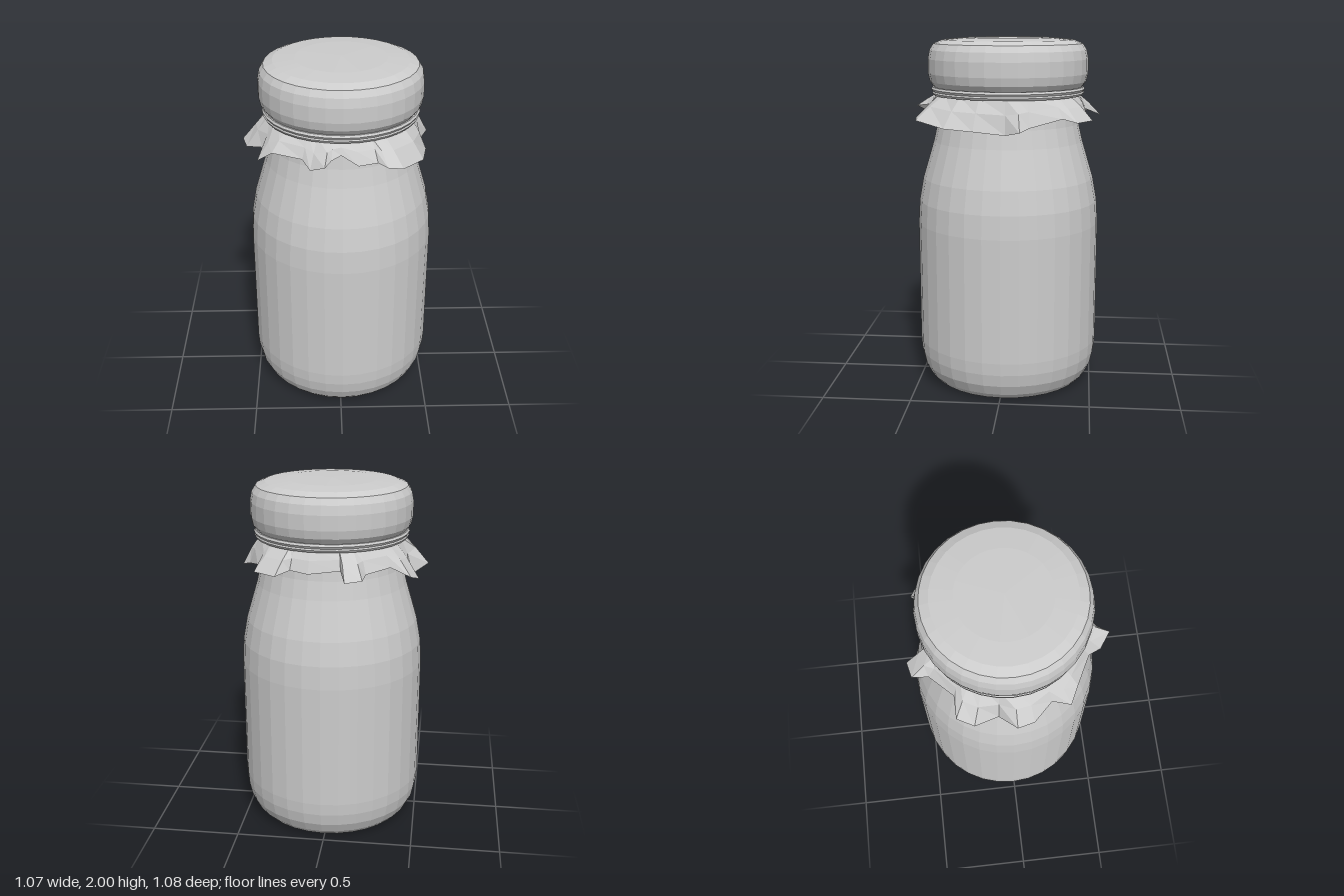
import * as THREE from 'three';

export function createModel() {
  const model = new THREE.Group();
  const CX = 0.01, CZ = -0.01; // axis of the jar
  const grey = new THREE.MeshStandardMaterial({ color: 0xcccccc, flatShading: true, side: THREE.DoubleSide });
  grey.name = 'light grey';

  const add = (name, geometry, y = 0) => {
    const mesh = new THREE.Mesh(geometry, grey);
    mesh.name = name;
    mesh.position.set(CX, y, CZ);
    model.add(mesh);
    return mesh;
  };
  const lathe = (points) => new THREE.LatheGeometry(points.map(([r, y]) => new THREE.Vector2(r, y)), 32);

  // Jar with a flat base, straight sides and a sloping shoulder
  add('jarBody', lathe([
    [0, 0.005], [0.44, 0.018], [0.47, 0.05], [0.5, 0.11], [0.515, 0.18], [0.52, 0.25],
    [0.52, 0.95], [0.512, 1.08], [0.488, 1.21], [0.455, 1.32], [0.425, 1.42],
    [0.402, 1.52], [0.392, 1.6], [0.39, 1.71],
  ]));

  // Cloth pulled over the lid
  add('lidCover', lathe([
    [0.39, 1.71], [0.42, 1.725], [0.442, 1.755], [0.452, 1.8], [0.452, 1.88],
    [0.442, 1.93], [0.42, 1.965], [0.37, 1.985], [0.25, 1.996], [0, 2],
  ]));

  // Two turns of string around the neck
  for (const [y, r] of [[1.692, 0.417], [1.713, 0.421]]) {
    const ring = new THREE.TorusGeometry(r, 0.014, 6, 32);
    ring.rotateX(Math.PI / 2);
    add('neckString', ring, y);
  }

  // Ruffled cloth hem: x, y, z of the folds going round the neck
  const hem = [
    [0.5, 1.52, -0.11], [0.455, 1.5, -0.03], [0.47, 1.52, 0.14], [0.44, 1.53, 0.3],
    [0.32, 1.56, 0.47], [0.24, 1.57, 0.48], [0.19, 1.58, 0.44], [0.09, 1.57, 0.455],
    [0, 1.62, 0.43], [-0.05, 1.61, 0.47], [-0.085, 1.6, 0.535], [-0.16, 1.56, 0.48],
    [-0.2, 1.59, 0.41], [-0.36, 1.59, 0.33], [-0.44, 1.53, 0.29], [-0.42, 1.56, 0.19],
    [-0.51, 1.52, 0.09], [-0.535, 1.53, 0], [-0.45, 1.49, -0.09], [-0.49, 1.5, -0.22],
    [-0.45, 1.53, -0.31], [-0.34, 1.58, -0.31], [-0.22, 1.57, -0.43], [-0.21, 1.56, -0.52],
    [-0.12, 1.55, -0.54], [-0.09, 1.59, -0.45], [0.08, 1.57, -0.46], [0.18, 1.58, -0.43],
    [0.25, 1.56, -0.49], [0.375, 1.56, -0.41], [0.37, 1.58, -0.33], [0.45, 1.54, -0.16],
  ];
  const rows = [[], [], []];
  for (const [x, y, z] of hem) {
    const a = Math.atan2(z - CZ, x - CX), r = Math.hypot(x - CX, z - CZ);
    const at = (radius, height) => [radius * Math.cos(a), height, radius * Math.sin(a)];
    rows[0].push(at(0.395, 1.69));
    rows[1].push(at(0.41 + (r - 0.41) * 0.45, 1.69 + (y - 1.69) * 0.45));
    rows[2].push(at(r, y));
  }
  const n = hem.length, index = [];
  for (let row = 0; row < 2; row++) {
    for (let i = 0; i < n; i++) {
      const a = row * n + i, b = row * n + (i + 1) % n;
      index.push(a, b, a + n, b, b + n, a + n);
    }
  }
  const ruffle = new THREE.BufferGeometry();
  ruffle.setAttribute('position', new THREE.Float32BufferAttribute(rows.flat(2), 3));
  ruffle.setIndex(index);
  ruffle.computeVertexNormals();
  add('clothRuffle', ruffle);

  return model;
}
